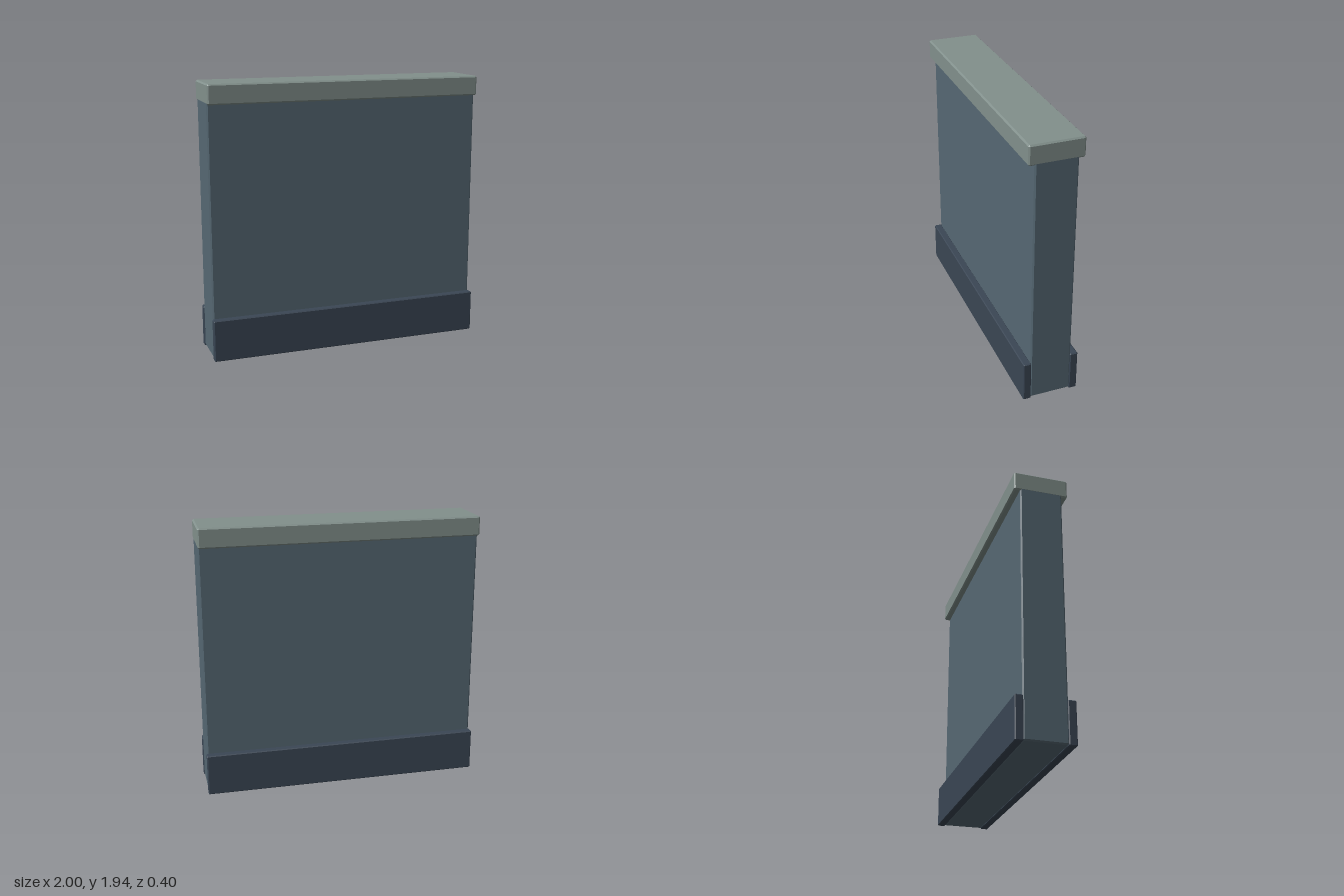
import * as THREE from 'three';
import { ConvexGeometry } from 'three/addons/geometries/ConvexGeometry.js';

// Box with every edge chamfered by c, resting on its underside
function chamferBox(w, h, d, c) {
  const points = [];
  for (const x of [-1, 1]) for (const y of [-1, 1]) for (const z of [-1, 1]) {
    const [a, b, e] = [x * w / 2, y * h / 2, z * d / 2];
    points.push(
      new THREE.Vector3(a, b - y * c, e - z * c),
      new THREE.Vector3(a - x * c, b, e - z * c),
      new THREE.Vector3(a - x * c, b - y * c, e),
    );
  }
  return new ConvexGeometry(points).translate(0, h / 2, 0);
}

export function createModel() {
  const model = new THREE.Group();
  model.name = 'wallSection';

  function addBlock(name, color, [w, h, d], y, z, c) {
    const material = new THREE.MeshStandardMaterial({ color, flatShading: true });
    const mesh = new THREE.Mesh(chamferBox(w, h, d, c), material);
    mesh.name = name;
    mesh.position.set(0, y, z);
    model.add(mesh);
  }

  // Main panel, its top tucked into the cap
  addBlock('wallPanel', 0x566873, [1.99, 1.88, 0.296], 0.005, 0, 0.01);

  // Coping along the top
  addBlock('topCap', 0x82908c, [1.992, 0.14, 0.38], 1.8, 0, 0.01);

  // Skirting boards on both faces
  for (const side of [1, -1]) {
    addBlock(side > 0 ? 'frontSkirting' : 'backSkirting', 0x3a4654,
      [2, 0.3, 0.056], 0, side * 0.172, 0.006);
  }

  return model;
}
